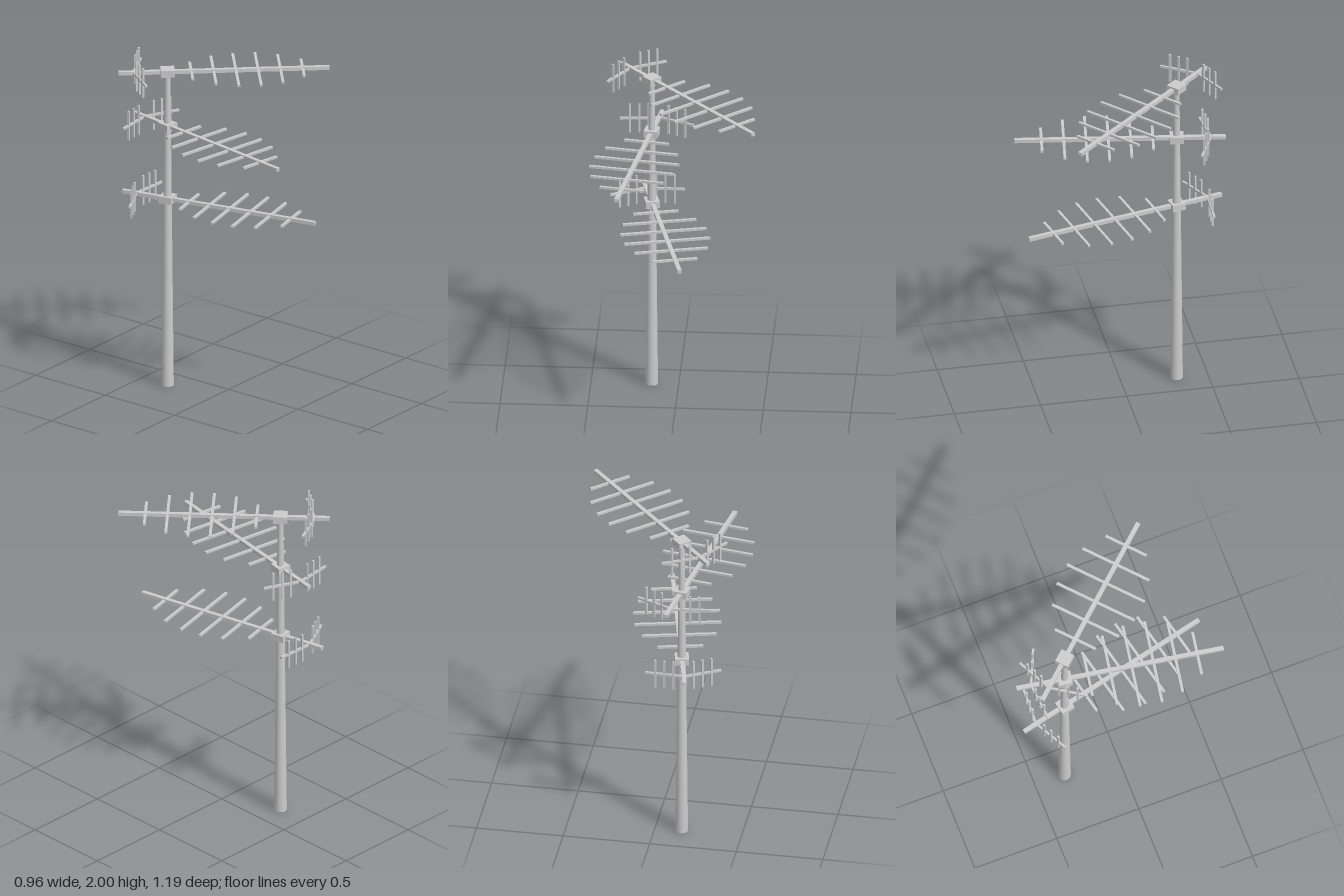
import * as THREE from 'three';

const material = new THREE.MeshStandardMaterial({ color: 0xcccccc });

function box(name, w, h, d, x = 0, y = 0, z = 0) {
  const mesh = new THREE.Mesh(new THREE.BoxGeometry(w, h, d), material);
  mesh.name = name;
  mesh.position.set(x, y, z);
  return mesh;
}

// One side of the V-shaped reflector, starting at the boom and running along +x
function createReflectorArm() {
  const arm = new THREE.Group();
  arm.name = 'reflectorArm';
  arm.add(box('reflectorBar', 0.224, 0.013, 0.013, 0.112));
  for (const x of [0.06, 0.112, 0.166]) {
    arm.add(box('reflectorRod', 0.012, 0.178, 0.012, x));
  }
  return arm;
}

// Directional antenna pointing to +z, with its clamp at the origin
function createAntenna() {
  const antenna = new THREE.Group();
  antenna.name = 'antenna';
  antenna.add(box('clamp', 0.08, 0.041, 0.08));

  const back = -0.28, front = 0.924;
  antenna.add(box('boom', 0.025, 0.021, front - back, 0, 0, (front + back) / 2));

  // Cross elements, longest in the middle
  [0.26, 0.425, 0.496, 0.496, 0.425, 0.26].forEach((length, i) => {
    antenna.add(box('crossElement', length, 0.013, 0.016, 0, 0, 0.135 + i * 0.127));
  });

  // Reflector arms swept forward on both sides
  const sweep = THREE.MathUtils.degToRad(15);
  for (const angle of [-sweep, Math.PI + sweep]) {
    const arm = createReflectorArm();
    arm.position.z = -0.195;
    arm.rotation.y = angle;
    antenna.add(arm);
  }
  return antenna;
}

export function createModel() {
  const model = new THREE.Group();
  model.name = 'antennaMast';
  const mastX = -0.154, mastZ = -0.32;

  // Tapered mast
  const height = 1.915;
  const mast = new THREE.Mesh(new THREE.CylinderGeometry(0.0165, 0.036, height, 24), material);
  mast.name = 'mast';
  mast.position.set(mastX, height / 2, mastZ);
  model.add(mast);

  // Three antennas, each turned its own way: [height, heading in degrees]
  for (const [y, heading] of [[1.14, 13.2], [1.584, -9.3], [1.915, 42]]) {
    const antenna = createAntenna();
    antenna.position.set(mastX, y, mastZ);
    antenna.rotation.y = THREE.MathUtils.degToRad(heading);
    model.add(antenna);
  }
  return model;
}
